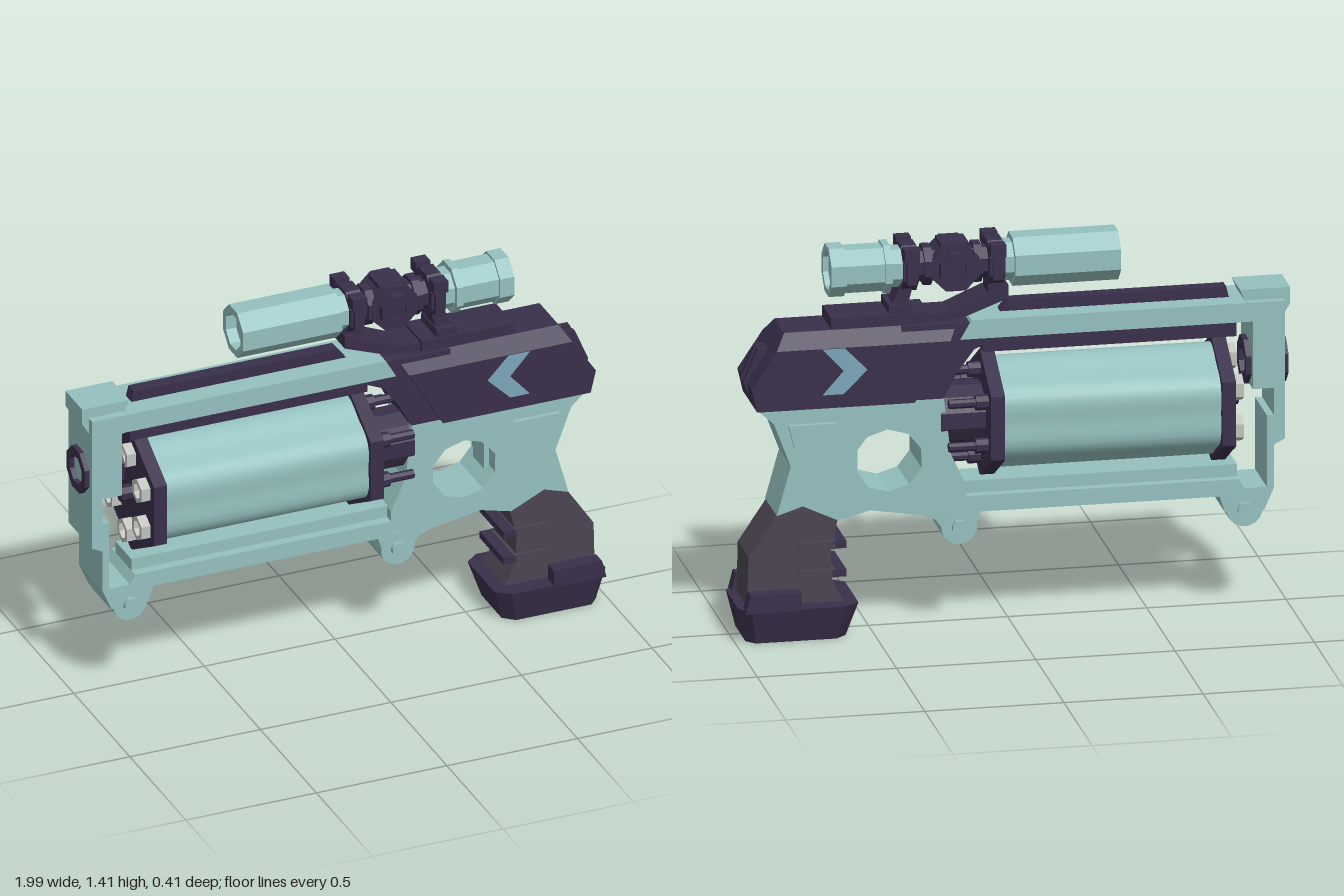
import * as THREE from 'three';
import { toCreasedNormals } from 'three/addons/utils/BufferGeometryUtils.js';
import { ConvexGeometry } from 'three/addons/geometries/ConvexGeometry.js';

const mat = (name, color) => Object.assign(new THREE.MeshStandardMaterial({ color }), { name });

export function createModel() {
  const root = new THREE.Group();
  root.name = 'toyBlaster';
  const teal = mat('teal', 0x94c0be);
  const dark = mat('dark violet', 0x392f4a);
  const gripGrey = mat('grip grey', 0x4b4452);
  const steel = mat('pale steel', 0xbfc2bd);
  const blue = mat('chevron blue', 0x7ba6b8);

  const add = (name, geo, material, x = 0, y = 0, z = 0) => {
    const mesh = new THREE.Mesh(geo, material);
    mesh.name = name;
    mesh.position.set(x, y, z);
    root.add(mesh);
    return mesh;
  };
  // Box from its limits in x and y, symmetric in z
  const block = (name, m, x0, x1, y0, y1, hz, z = 0) =>
    add(name, new THREE.BoxGeometry(x1 - x0, y1 - y0, hz * 2), m, (x0 + x1) / 2, (y0 + y1) / 2, z);
  const toPts = (pts) => pts.map(([x, y]) => new THREE.Vector2(x, y));
  // Side outline extruded symmetrically in z
  const plate = (name, m, pts, hz, holes = [], z = 0) => {
    const shape = new THREE.Shape(toPts(pts));
    holes.forEach((h) => shape.holes.push(new THREE.Path(toPts(h))));
    const geo = new THREE.ExtrudeGeometry(shape, { depth: hz * 2, bevelEnabled: false });
    geo.translate(0, 0, -hz);
    return add(name, geo, m, 0, 0, z);
  };
  const flat = (geo) => {
    const g = geo.toNonIndexed();
    g.computeVertexNormals();
    return g;
  };
  // Faceted rod or tube along x, or along z
  const rod = (name, m, x0, x1, y, z, r, sides, inner = 0, turn = Math.PI / sides) => {
    const L = x1 - x0;
    const geo = flat(new THREE.LatheGeometry(
      toPts([[inner, 0], [r, 0], [r, L], [inner, L], ...(inner ? [[inner, 0]] : [])]), sides));
    geo.rotateY(turn).rotateZ(-Math.PI / 2);
    return add(name, geo, m, x0, y, z);
  };
  const crossRod = (name, m, x, y, half, r, sides, inner = 0) => {
    const mesh = rod(name, m, -half, half, 0, 0, r, sides, inner);
    mesh.geometry.translate(-half, 0, 0).rotateY(-Math.PI / 2);
    mesh.position.set(x, y, 0);
    return mesh;
  };

  // Main frame: front post, top rail, lower bar and body, with a trigger hole
  const ringHole = Array.from({ length: 10 }, (_, i) => {
    const a = (i / 10) * Math.PI * 2 + 0.3;
    return [0.45 + 0.125 * Math.cos(a), 0.64 + 0.115 * Math.sin(a)];
  });
  plate('frame', teal, [
    [-0.975, 1.14], [-0.975, 0.63], [-0.935, 0.61], [-0.935, 0.45], [-0.9, 0.37], [-0.76, 0.37],
    [-0.74, 0.43], [0.12, 0.43], [0.14, 0.37], [0.25, 0.37], [0.28, 0.41], [0.33, 0.43],
    [0.515, 0.46], [0.63, 0.43], [0.757, 0.49], [0.85, 0.46], [0.8, 0.64], [0.86, 0.8],
    [0.92, 0.855], [0.25, 0.855], [0.225, 0.65], [0.17, 0.53], [0.17, 0.49], [-0.81, 0.49],
    [-0.83, 0.455], [-0.91, 0.455], [-0.91, 0.72], [-0.935, 0.72], [-0.935, 0.82], [-0.86, 0.82],
    [-0.86, 1.07], [0.19, 1.07], [0.15, 1.14],
  ], 0.105, [ringHole]);
  block('lowerBarLedge', teal, -0.81, 0.2, 0.47, 0.535, 0.07);
  plate('frontSightBase', teal,
    [[-1, 1.18], [-0.82, 1.18], [-0.84, 1.13], [-0.86, 1.07], [-0.97, 1.07], [-1, 1.12]], 0.075);
  block('trigger', teal, 0.55, 0.59, 0.59, 0.69, 0.05);
  for (const x of [-0.83, 0.195]) {
    crossRod('lug', teal, x, 0.38, 0.108, 0.065, 16);
    crossRod('lugPin', teal, x, 0.38, 0.127, 0.028, 10);
  }
  // Raised triangular rims on the body sides
  plate('triangleRim', teal, [[0.635, 0.795], [0.81, 0.795], [0.79, 0.715]], 0.122,
    [[[0.668, 0.783], [0.794, 0.783], [0.78, 0.733]]]);

  // Top rail inserts
  plate('topRib', dark, [[-0.8, 1.1], [-0.78, 1.18], [0, 1.18], [0.04, 1.13]], 0.025);
  block('underRail', dark, -0.81, 0.1, 1.005, 1.08, 0.06);
  rod('muzzleRing', dark, -0.993, -0.84, 0.9, 0, 0.088, 8, 0.055);

  // Rear upper housing
  plate('housingFront', dark, [[0.05, 1.07], [0.14, 1.03], [0.2, 0.95], [0.25, 0.855],
    [0.4, 0.855], [0.4, 1.13], [0.15, 1.13]], 0.1);
  const housing = [];
  for (const s of [-1, 1]) {
    for (const [x, y, z] of [[0.36, 0.855, 0.128], [0.23, 1.075, 0.128], [0.2, 1.13, 0.085],
      [0.82, 1.13, 0.085], [0.855, 1.075, 0.128], [0.945, 0.94, 0.128], [0.925, 0.855, 0.128]])
      housing.push(new THREE.Vector3(x, y, z * s));
  }
  add('housing', new ConvexGeometry(housing), dark);
  for (const s of [-1, 1])
    plate('rearRib', dark, [[0.84, 1.06], [0.905, 1.06], [0.955, 0.94], [0.93, 0.88], [0.9, 0.88]],
      0.012, [], s * 0.024);
  for (const s of [-1, 1]) {
    plate('chevron', blue, [[0.61, 1.073], [0.69, 1.073], [0.615, 0.99], [0.69, 0.905],
      [0.615, 0.905], [0.53, 0.99]], 0.003, [], s * 0.129);
  }

  // Rotating drum: rounded hexagonal body between two hexagonal plates
  const cy = 0.765;
  const drum = new THREE.CylinderGeometry(0.2, 0.2, 0.79, 48, 1, true);
  const p = drum.attributes.position;
  for (let i = 0; i < p.count; i++) {
    const a = Math.atan2(p.getX(i), p.getZ(i));
    const r = 0.194 - 0.01 * Math.cos(6 * a);
    p.setXYZ(i, r * Math.sin(a), p.getY(i), r * Math.cos(a));
  }
  drum.rotateZ(-Math.PI / 2);
  add('drum', toCreasedNormals(drum, 0.6), teal, -0.34, cy);
  for (const x of [-0.78, 0.05])
    rod('drumPlate', dark, x, x + 0.05, cy, 0, 0.235, 6, 0, Math.PI / 6);
  for (let i = 0; i < 6; i++) {
    const a = (i / 6) * Math.PI * 2 + Math.PI / 2;
    const y = cy + 0.15 * Math.sin(a), z = 0.15 * Math.cos(a);
    rod('barrelNut', steel, -0.815, -0.77, y, z, 0.048, 6, 0.03);
    rod('drumRod', dark, 0.09, 0.24, cy + 0.16 * Math.sin(a), 0.16 * Math.cos(a), 0.017, 8);
    rod('drumRodCollar', dark, 0.1, 0.145, cy + 0.16 * Math.sin(a), 0.16 * Math.cos(a), 0.028, 8);
  }
  rod('drumAxle', dark, -0.825, -0.77, cy, 0, 0.03, 8);
  rod('drumHub', dark, 0.09, 0.26, 0.77, 0, 0.112, 12);

  // Grip with finger ribs and a flared foot
  plate('grip', gripGrey, [[0.63, 0.43], [0.757, 0.49], [0.85, 0.46], [0.95, 0.31], [0.955, 0.11],
    [0.6, 0.11], [0.65, 0.21], [0.655, 0.31]], 0.095);
  for (const y of [0.34, 0.235]) {
    block('gripRib', gripGrey, 0.64, 0.77, y - 0.015, y + 0.015, 0.107);
    block('fingerRib', dark, 0.6, 0.65, y - 0.013, y + 0.013, 0.107);
  }
  const foot = [];
  for (const s of [-1, 1]) {
    for (const [x, y, z] of [[0.56, 0.128, 0.12], [0.61, 0.128, 0.16], [0.95, 0.128, 0.16],
      [0.99, 0.128, 0.11], [0.6, 0, 0.09], [0.64, 0, 0.125], [0.93, 0, 0.125], [0.96, 0, 0.09]])
      foot.push(new THREE.Vector3(x, y, z * s));
  }
  add('gripFoot', new ConvexGeometry(foot), dark);
  for (const s of [-1, 1])
    plate('footTab', dark, [[0.77, 0.12], [0.77, 0.187], [0.955, 0.187], [0.972, 0.12]],
      0.027, [], s * 0.133);

  // Scope mount
  block('mountBase', dark, 0.3, 0.65, 1.11, 1.17, 0.08);
  block('mountPad', dark, 0.36, 0.44, 1.16, 1.2, 0.07);
  plate('mountArm', dark, [[0.01, 1.25], [0.01, 1.2], [0.17, 1.14], [0.34, 1.12], [0.34, 1.16],
    [0.22, 1.16], [0.08, 1.22]], 0.065);
  plate('frontPost', dark, [[0.01, 1.22], [0.08, 1.22], [0.08, 1.3], [0.03, 1.3]], 0.045);
  plate('rearPost', dark, [[0.34, 1.3], [0.38, 1.3], [0.43, 1.18], [0.37, 1.18]], 0.045);

  // Scope: octagonal tubes, clamps and a central turret
  const sy = 1.325;
  rod('scopeFrontTube', teal, -0.39, -0.01, sy, 0, 0.097, 8, 0.07);
  rod('scopeFrontLens', teal, -0.35, -0.02, sy, 0, 0.075, 8);
  rod('scopeFrontNeck', teal, -0.02, 0.03, sy, 0, 0.075, 8);
  rod('scopeRearNeck', teal, 0.39, 0.44, sy, 0, 0.075, 8);
  rod('scopeRearCollar', teal, 0.43, 0.455, sy, 0, 0.096, 8);
  rod('scopeRearTube', teal, 0.45, 0.6, sy, 0, 0.086, 8);
  rod('scopeRearRim', teal, 0.595, 0.65, sy, 0, 0.096, 8, 0.072);
  rod('scopeRearLens', teal, 0.59, 0.63, sy, 0, 0.075, 8);
  rod('scopeCore', dark, 0.02, 0.4, sy, 0, 0.06, 8);
  for (const x of [0.025, 0.335]) {
    rod('scopeClamp', dark, x, x + 0.055, sy, 0, 0.09, 8);
    for (const s of [-1, 1]) {
      block('clampEar', dark, x, x + 0.055, 1.365, 1.41, 0.025, s * 0.08);
      block('clampFoot', dark, x + 0.01, x + 0.045, 1.28, 1.37, 0.02, s * 0.08);
    }
  }
  crossRod('turret', dark, 0.2, sy, 0.07, 0.092, 8);
  crossRod('turretRing', dark, 0.2, sy, 0.1, 0.065, 8, 0.035);
  crossRod('turretCore', dark, 0.2, sy, 0.085, 0.04, 8);
  block('turretCap', dark, 0.15, 0.25, 1.36, 1.412, 0.05);
  for (const x of [0.1, 0.28]) rod('turretNeck', dark, x, x + 0.03, sy, 0, 0.075, 8);

  return root;
}
